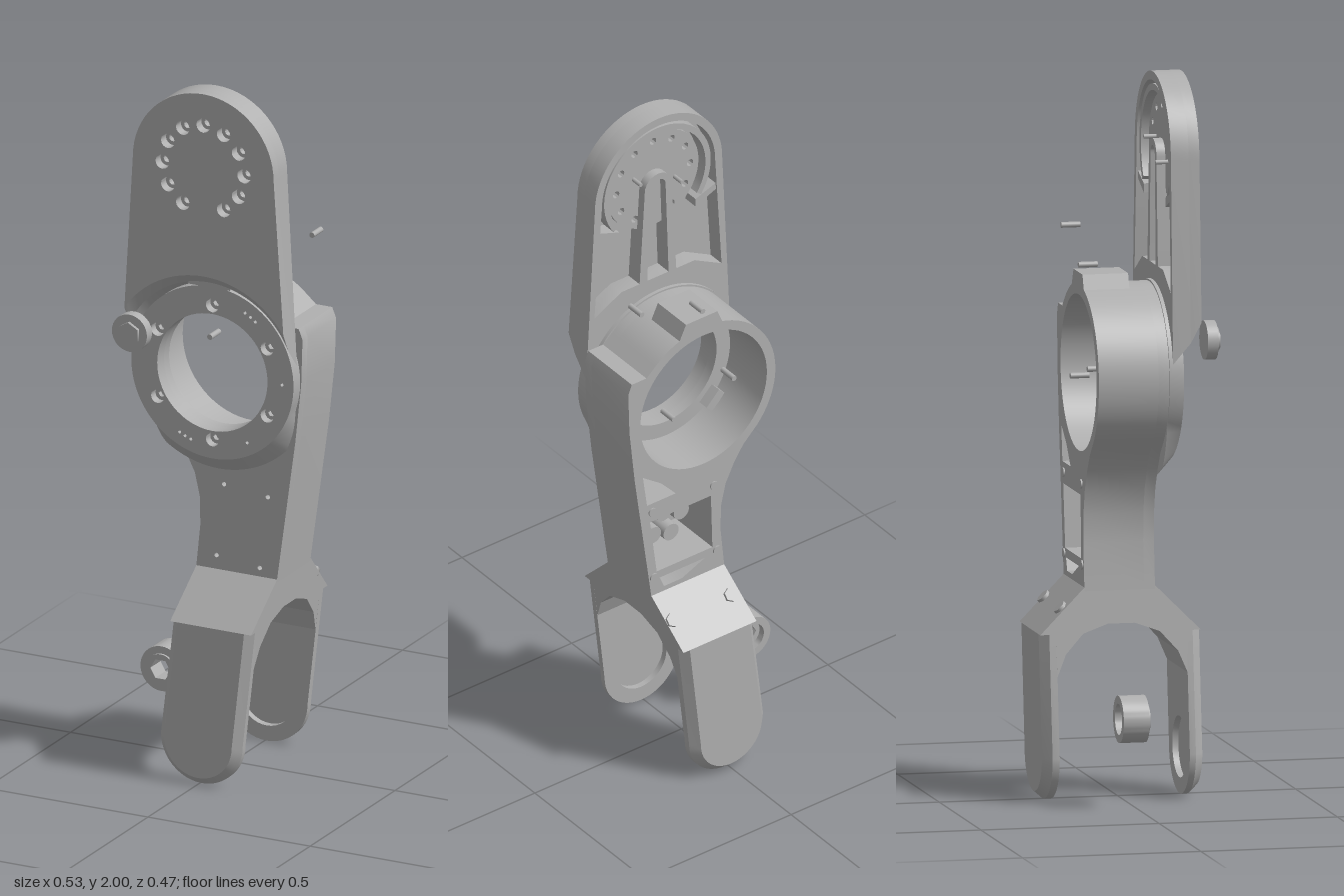
import * as THREE from 'three';
import { toCreasedNormals } from 'three/addons/utils/BufferGeometryUtils.js';

const TAU = Math.PI * 2;
const RING = [0.005, 1.175];   // centre of the big bearing ring
const HUB = [0.003, 1.783];    // centre of the upper bolt circle
const rad = (d) => d * Math.PI / 180;
const P = (x, y) => new THREE.Vector2(x, y);
const polar = ([x, y], r, deg) => [x + r * Math.cos(rad(deg)), y + r * Math.sin(rad(deg))];
const arc = (c, r, d0, d1, n) =>
  Array.from({ length: n + 1 }, (_, i) => P(...polar(c, r, d0 + (d1 - d0) * i / n)));
const circle = (c, r, n = 48) => arc(c, r, 0, 360 * (n - 1) / n, n - 1);
const poly = (list) => list.map(([x, y]) => P(x, y));

// Solid between two matching outlines at z0 and z1, with straight holes
function loft(a, b, z0, z1, holes = []) {
  a = a.slice(); b = b.slice();
  if (THREE.ShapeUtils.isClockWise(a)) { a.reverse(); b.reverse(); }
  holes = holes.map((h) => (THREE.ShapeUtils.isClockWise(h) ? h : h.slice().reverse()));
  const pos = [];
  const put = (p, z) => pos.push(p.x, p.y, z);
  const side = (lo, hi) => lo.forEach((p, i) => {
    const j = (i + 1) % lo.length;
    put(p, z0); put(lo[j], z0); put(hi[j], z1);
    put(p, z0); put(hi[j], z1); put(hi[i], z1);
  });
  side(a, b);
  holes.forEach((h) => side(h, h));
  const cap = (outline, z, flip) => {
    const all = [outline, ...holes].flat();
    for (const f of THREE.ShapeUtils.triangulateShape(outline, holes))
      (flip ? [f[2], f[1], f[0]] : f).forEach((k) => put(all[k], z));
  };
  cap(a, z0, true);
  cap(b, z1, false);
  const g = new THREE.BufferGeometry();
  g.setAttribute('position', new THREE.Float32BufferAttribute(pos, 3));
  return toCreasedNormals(g, 0.5);
}
const slab = (outline, z0, z1, holes) => loft(outline, outline, z0, z1, holes);

// Upper plate outline; its lower edge is an arc of radius r around the ring
function plateOutline(r) {
  const a = Math.acos(0.245 / r) * 180 / Math.PI;
  return [...arc(HUB, 0.217, 0, 180, 32), ...arc(RING, r, 180 - a, a, 32)];
}

// Left and right edges of the lower fork
const leftX = (y) => -0.12 + (y - 0.15) * 0.125;
const rightX = (y) => 0.13 + (y - 0.13) * 0.116;
function prongOutline(inset) {
  const y = 0.465;
  return [...arc([0.005, 0.127], 0.126 - inset, 180, 360, 24),
    P(rightX(y) - inset, y), P(leftX(y) + inset, y)];
}

export function createModel() {
  const model = new THREE.Group();
  const grey = new THREE.MeshStandardMaterial({ color: 0xb0b0b0 });
  grey.name = 'grey';
  const add = (name, geo) => {
    const m = new THREE.Mesh(geo, grey);
    m.name = name;
    model.add(m);
    return m;
  };
  const rod = (name, x, y, z0, z1, r, n = 16) => {
    const m = add(name, new THREE.CylinderGeometry(r, r, z1 - z0, n));
    m.rotation.x = Math.PI / 2;
    m.position.set(x, y, (z0 + z1) / 2);
    return m;
  };

  // Upper plate: front skin with counterbored bolt circle, and back rim
  const bolts = [...Array(12).keys()].filter((i) => i !== 9).map((i) => polar(HUB, 0.126, i * 30));
  add('upperPlate', loft(plateOutline(0.268), plateOutline(0.295), 0.15, 0.18,
    bolts.map((c) => circle(c, 0.021, 16))));
  add('upperRim', loft(plateOutline(0.2502), plateOutline(0.268), 0.1, 0.15,
    [[...arc(HUB, 0.193, 0, 180, 32), P(-0.212, 1.42), P(-0.12, 1.47), P(0.13, 1.47), P(0.222, 1.42)]]));
  add('boltDisc', slab(circle(HUB, 0.155), 0.125, 0.151, bolts.map((c) => circle(c, 0.011, 10))));
  add('discRidge', slab([...arc(HUB, 0.182, -35, 215, 40), ...arc(HUB, 0.164, 215, -35, 40)], 0.105, 0.151));
  // Spine and cross ridges on the back of the plate
  add('spine', slab([...arc([0.005, 1.77], 0.045, 0, 180, 12), P(-0.06, 1.43), P(0.07, 1.43)], 0.1, 0.151,
    [[...arc([0.005, 1.77], 0.026, 0, 180, 12), P(-0.032, 1.45), P(0.042, 1.45)]]));
  for (const s of [-1, 1]) {
    add('crossRidge', slab(poly([[0.13, 1.67], [0.213, 1.70], [0.213, 1.68], [0.13, 1.645]]
      .map(([x, y]) => [0.003 + s * x, y])), 0.105, 0.151));
    rod('smallStud', s * 0.07, 1.785 + s * 0.025, 0.09, 0.13, 0.006, 8);
  }

  // Middle body: ring housing joined to the waist
  const body = [
    ...arc(RING, 0.245, 48, 222, 48),
    ...poly([[-0.13, 0.965], [-0.1, 0.92], [-0.07, 0.86], [-0.054, 0.79], [-0.053, 0.71],
      [leftX(0.58), 0.58], [rightX(0.58), 0.58], [0.24, 1.0], [0.258, 1.17], [0.262, 1.3],
      [0.25, 1.33], [0.2, 1.33]]),
  ];
  const bore = circle(RING, 0.17, 64);
  add('housing', slab(body, -0.108, 0.06, [
    circle(RING, 0.216, 64),
    poly([[0.212, 1.0], [0.198, 0.9], [0.1, 0.9], [0.15, 0.955]]),
    poly([[-0.02, 0.84], [0.188, 0.84], [0.165, 0.665], [-0.025, 0.665]]),
    poly([[0.0, 0.64], [0.155, 0.64], [0.14, 0.605], [0.08, 0.605]]),
  ]));
  add('housingFront', slab(body, 0.06, 0.09, [bore,
    ...[[0.02, 0.84], [0.155, 0.825], [-0.003, 0.63], [0.13, 0.615]].map((c) => circle(c, 0.007, 8))]));

  // Front flange with a sloped crescent below and six bolt holes
  const flange = (extra) => Array.from({ length: 96 }, (_, i) => {
    const d = i * 3.75;
    const t = THREE.MathUtils.clamp((65 - Math.abs(d - 275)) / 25, 0, 1);
    const [x, y] = polar(RING, 0.25 + extra * t, d);
    return P(Math.min(x, 0.258), y);
  });
  const flangeBolts = [30, 90, 150, 210, 270, 330].map((d) => polar(RING, 0.195, d));
  const dots = [52, 57, 62, 242, 247, 252, 0, 300].map((d) => polar(RING, 0.215, d));
  add('flange', loft(flange(0.042), flange(0), 0.09, 0.13, [bore,
    ...flangeBolts.map((c) => circle(c, 0.02, 16)), ...dots.map((c) => circle(c, 0.005, 6))]));
  for (const [x, y] of flangeBolts)
    add('boltSeat', slab(circle([x, y], 0.0195, 16), 0.09, 0.105, [circle([x, y], 0.01, 6)]));

  // Tabs inside the housing, cable bump on top
  for (let i = 0; i < 4; i++) {
    const m = add('innerTab', new THREE.BoxGeometry(0.03, 0.06, 0.035));
    const [x, y] = polar(RING, 0.203, 45 + i * 90);
    m.position.set(x, y, 0.045);
    m.rotation.z = rad(45 + i * 90);
  }
  add('topBump', slab(poly([[-0.065, 1.395], [0.092, 1.395], [0.065, 1.452], [-0.042, 1.452]]), -0.108, 0.02));

  // Cylinders in the waist pocket, screws on the back
  for (const [x, y] of [[0.03, 0.77], [0.09, 0.79], [0.065, 0.715], [0.125, 0.73]])
    rod('pocketCylinder', x, y, -0.04, 0.062, 0.026, 20);
  for (const [x, y] of [[-0.03, 0.872], [0.18, 0.872], [-0.04, 0.65], [0.175, 0.65]])
    rod('backScrew', x, y, -0.112, -0.1, 0.013);

  // Fork bridge: side profile run across x and skewed to the fork edges
  const profile = poly([[0.215, 0.465], [0.09, 0.59], [-0.108, 0.59], [-0.235, 0.465], [-0.192, 0.465],
    [-0.19, 0.35], [-0.165, 0.41], [-0.115, 0.465], [-0.045, 0.49], [0.03, 0.49], [0.1, 0.465],
    [0.15, 0.41], [0.175, 0.35], [0.177, 0.465]]);
  let bridge = slab(profile, 0, 1);
  const p = bridge.attributes.position;
  for (let i = 0; i < p.count; i++) {
    const z = p.getX(i), y = p.getY(i), t = 1 - p.getZ(i);
    p.setXYZ(i, THREE.MathUtils.lerp(leftX(y), rightX(y), t), y, z);
  }
  bridge = toCreasedNormals(bridge, 0.3);
  add('forkBridge', bridge);

  // Fork prongs: recessed inner plate and chamfered outer plate
  const full = prongOutline(0), small = prongOutline(0.022);
  const seat = [circle([0.005, 0.13], 0.085, 40)];
  add('frontProngInner', slab(full, 0.175, 0.192, seat));
  add('frontProngOuter', loft(full, small, 0.192, 0.215));
  add('backProngInner', slab(full, -0.21, -0.19, seat));
  add('backProngOuter', loft(small, full, -0.235, -0.21));

  // Hex bolts on the sloped back shoulder
  for (const x of [-0.04, 0.158]) {
    const m = add('shoulderBolt', new THREE.CylinderGeometry(0.02, 0.02, 0.02, 6));
    m.position.set(x, 0.53, -0.167);
    m.rotation.x = -Math.PI / 4;
  }

  // Loose wheels
  rod('frontWheel', -0.201, 1.285, 0.195, 0.225, 0.054, 32);
  rod('frontWheelCap', -0.201, 1.285, 0.22, 0.235, 0.034, 6);
  const w = [-0.205, 0.245];
  add('sideWheel', slab(circle(w, 0.065), -0.045, 0.028, [circle(w, 0.043, 32)]));
  add('sideWheelHub', slab(circle(w, 0.044, 32), -0.025, 0.035, [circle(w, 0.031, 6)]));

  // Loose dowel pins
  for (const [x, y] of [[0.007, 1.472], [0.215, 1.55], [-0.1, 1.2], [0.105, 1.15]])
    rod('dowelPin', x, y, -0.108, -0.055, 0.008, 12);

  return model;
}
